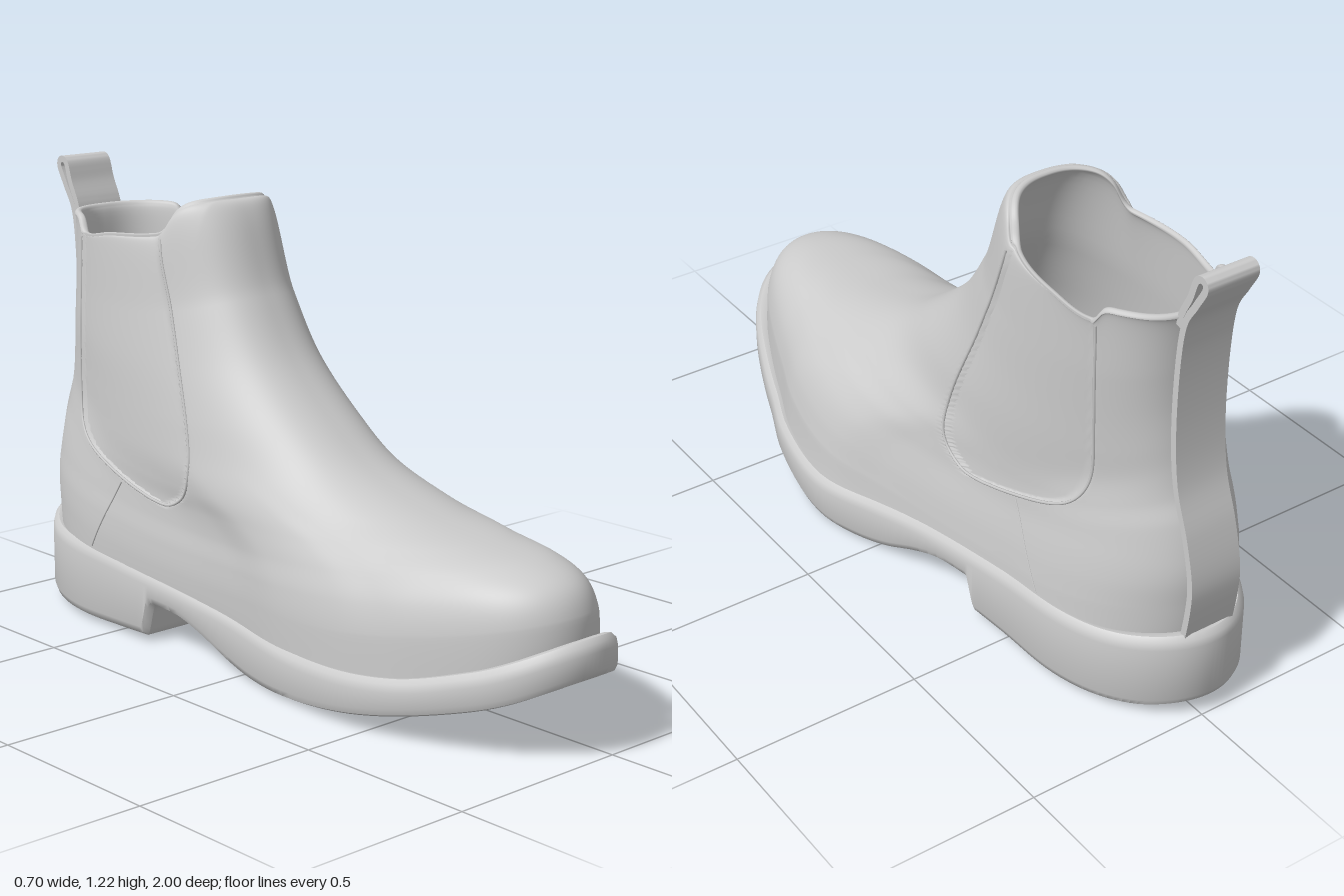
import * as THREE from 'three';
import { toCreasedNormals } from 'three/addons/utils/BufferGeometryUtils.js';

const material = new THREE.MeshStandardMaterial({ color: 0xcccccc });
const { lerp, smoothstep } = THREE.MathUtils;

// Smooth interpolation through rows [parameter, value, value...]
function keys(rows) {
  const last = rows.length - 1;
  return (t) => {
    t = Math.min(Math.max(t, rows[0][0]), rows[last][0]);
    let i = 0;
    while (i < last - 1 && t > rows[i + 1][0]) i++;
    const a = rows[i], b = rows[i + 1], p = rows[Math.max(i - 1, 0)], q = rows[Math.min(i + 2, last)];
    const h = b[0] - a[0], s = (t - a[0]) / h, s2 = s * s, s3 = s2 * s;
    return a.slice(1).map((ya, k) => {
      const yb = b[k + 1];
      const ma = (yb - p[k + 1]) / (b[0] - p[0]) * h, mb = (q[k + 1] - ya) / (q[0] - a[0]) * h;
      return ya * (2 * s3 - 3 * s2 + 1) + ma * (s3 - 2 * s2 + s) + yb * (3 * s2 - 2 * s3) + mb * (s3 - s2);
    });
  };
}

// Grid of quads from point(i, j); closed joins the last column to the first
function grid(cols, rows, closed, point, keep = () => true) {
  const pos = [], index = [], n = closed ? cols : cols + 1;
  for (let j = 0; j <= rows; j++) for (let i = 0; i < n; i++) pos.push(...point(i, j));
  for (let j = 0; j < rows; j++) for (let i = 0; i < cols; i++) {
    const a = j * n + i, b = j * n + (i + 1) % n;
    if (keep(pos, a, j)) index.push(a, b, b + n, a, b + n, a + n);
  }
  const geo = new THREE.BufferGeometry();
  geo.setAttribute('position', new THREE.Float32BufferAttribute(pos, 3));
  geo.setIndex(index);
  geo.computeVertexNormals();
  return geo;
}

function add(group, geo, name) {
  const mesh = new THREE.Mesh(geo, material);
  mesh.name = name;
  group.add(mesh);
}

// Footprint: centre line and fullness along z
const centre = keys([[-1, -0.03], [-0.5, -0.03], [-0.2, -0.012], [0, 0.005], [0.2, 0.01], [0.45, -0.02], [0.6, -0.04], [1, -0.06]]);
const fullness = keys([[-1, 0.4], [-0.85, 0.385], [-0.7, 0.355], [-0.5, 0.308], [-0.2, 0.286], [0, 0.3], [0.2, 0.344], [0.45, 0.369], [0.6, 0.366], [0.8, 0.374], [1, 0.415]]);
const soleTop = keys([[-1, 0.25], [-0.85, 0.228], [-0.6, 0.215], [-0.3, 0.19], [-0.1, 0.165], [0.1, 0.14], [0.3, 0.135], [0.6, 0.16], [0.81, 0.215], [0.9, 0.25], [1, 0.3]]);
const archBottom = keys([[-0.4, 0.112], [-0.25, 0.102], [-0.15, 0.07], [-0.05, 0.03], [0.05, 0.008], [0.2, 0.008], [0.4, 0.03], [0.6, 0.065], [0.8, 0.115], [0.9, 0.15], [1, 0.2]]);
const heelBottom = keys([[-1, 0.045], [-0.9, 0.025], [-0.7, 0.015], [-0.37, 0.02]]);
const soleBottom = (z) => lerp(heelBottom(z)[0], archBottom(z)[0], smoothstep(z, -0.39, -0.355));

// Angles around the sole, packed more tightly at the front of the heel
const half = [];
for (let i = 0; i <= 90; i++) half.push(i / 90 * Math.PI);
for (const z of [-0.355, -0.36, -0.365, -0.37, -0.375, -0.38, -0.385, -0.39]) half.push(Math.acos(z));
half.sort((a, b) => a - b);
const around = [...half, ...half.slice(1, -1).reverse().map((a) => 2 * Math.PI - a)];

// Wall of the sole: [inset, height above bottom or below top, 1 = top]
const wall = [[0.022, 0, 0], [0.007, 0.008, 0], [0, 0.025, 0], [0, -0.03, 1], [0.005, -0.01, 1], [0.018, 0, 1], [0.035, -0.003, 1], [0.05, -0.012, 1], [0.1, -0.03, 1]];
function solePoint(angle, [inset, dy, top]) {
  const n = Math.cos(angle);
  const y = (top ? soleTop(n)[0] : soleBottom(n)) + dy;
  return [centre(n)[0] + Math.sin(angle) * (fullness(n)[0] - inset), y, n * (1 - inset)];
}

// Rings of the upper: front y, front z, side y, back y, back z, foot scale, shaft width, shaft blend, shaft centre
const ringRows = [
  [0.24, 0.945, 0.125, 0.2, -0.95, 0.94, 0.3, 0, -0.05],
  [0.335, 0.945, 0.205, 0.32, -0.96, 0.92, 0.3, 0.08, -0.09],
  [0.405, 0.905, 0.28, 0.4, -0.962, 0.885, 0.28, 0.13, -0.09],
  [0.44, 0.81, 0.343, 0.47, -0.95, 0.83, 0.26, 0.2, -0.075],
  [0.453, 0.66, 0.398, 0.54, -0.93, 0.785, 0.252, 0.38, -0.056],
  [0.475, 0.47, 0.453, 0.6, -0.905, 0.76, 0.247, 0.65, -0.047],
  [0.54, 0.26, 0.53, 0.67, -0.89, 0.74, 0.24, 0.95, -0.041],
  [0.64, 0.1, 0.63, 0.74, -0.882, 0.74, 0.234, 1, -0.037],
  [0.78, -0.06, 0.75, 0.83, -0.876, 0.74, 0.226, 1, -0.033],
  [0.94, -0.172, 0.88, 0.93, -0.876, 0.74, 0.217, 1, -0.025],
  [1.08, -0.25, 0.99, 1.02, -0.88, 0.74, 0.209, 1, -0.018],
  [1.17, -0.3, 1.06, 1.09, -0.89, 0.74, 0.205, 1, -0.014],
];
const ring = keys(ringRows.map((r, i) => [i, ...r]));
const TOP = ringRows.length - 1;

// Collar height along z: back tab, dipped elastic, tall front tab
const collar = keys([[-0.89, 1.09], [-0.8, 1.09], [-0.765, 1.082], [-0.735, 1.045], [-0.6, 1.06], [-0.43, 1.074], [-0.405, 1.09], [-0.38, 1.132], [-0.35, 1.157], [-0.3, 1.172]]);

// Front and back edges of the elastic side panel, z by height
const panelFront = keys([[0.39, -0.3], [0.43, -0.225], [0.5, -0.2], [0.6, -0.22], [0.8, -0.3], [1, -0.38], [1.1, -0.41]]);
const panelBack = keys([[0.39, -0.32], [0.42, -0.45], [0.47, -0.6], [0.52, -0.68], [0.6, -0.72], [0.75, -0.73], [1.1, -0.745]]);
const panelDepth = (y, z) => (y < 0.39 ? -1 : Math.min(panelFront(y)[0] - z, z - panelBack(y)[0]));

function upperPoint(v, angle, inset = 0, recess = false) {
  const [yF, zF, yS, yB, zB, scale, width, blend, cx] = ring(v);
  const n = Math.cos(angle), s = Math.sin(angle);
  const mid = (zF + zB) / 2, reach = (zF - zB) / 2, zFull = mid + reach * n;
  let y = yS + ((n > 0 ? yF : yB) - yS) * n * n;
  y = lerp(y, collar(zFull)[0], smoothstep(v, TOP - 2, TOP));
  y = lerp(y, soleTop(zFull)[0] - 0.03, Math.max(0, 1 - v));
  if (recess) inset = Math.max(inset, 0.008 * smoothstep(panelDepth(y, zFull), 0, 0.015));
  const z = mid + (reach - inset) * n;
  const foot = fullness(n)[0] * (scale + (1 - scale) * (1 - n) / 4);
  const x = lerp(centre(z)[0], cx, blend) + Math.sign(s) * Math.abs(s) ** (1 - 0.22 * blend) * (lerp(foot, width, blend) - inset);
  return [x, y, z];
}

// Point on the upper at a given z and height; side is +1 left, -1 right
function onUpper(z, y, side) {
  let lo = 0, hi = TOP, p;
  for (let k = 0; k < 30; k++) {
    const v = (lo + hi) / 2, r = ring(v);
    const n = (z - (r[1] + r[4]) / 2) / ((r[1] - r[4]) / 2);
    p = upperPoint(v, side * Math.acos(Math.min(1, Math.max(-1, n))));
    if (p[1] < y) lo = v; else hi = v;
  }
  return new THREE.Vector3(...p);
}

export function createModel() {
  const boot = new THREE.Group();
  boot.name = 'boot';

  // Sole wall with rounded edges, and the tread below
  add(boot, toCreasedNormals(grid(around.length, wall.length - 1, true,
    (i, j) => solePoint(around[i], wall[j])), 0.7), 'sole');
  add(boot, toCreasedNormals(grid(8, half.length - 1, false, (i, j) => {
    const angle = half[half.length - 1 - j];
    const l = solePoint(angle, wall[0]), r = solePoint(-angle, wall[0]);
    return [lerp(r[0], l[0], i / 8), l[1], l[2]];
  }), 0.5), 'tread');

  // Upper: outside, rolled collar, lining and insole in one skin
  const OUT = 130, RIM = 6, IN = 50, FLOOR = 6, COLS = 240;
  const skin = (i, j) => {
    const angle = i / COLS * 2 * Math.PI;
    if (j <= OUT) return upperPoint(j / OUT * TOP, angle, 0, true);
    const t = Math.min((j - OUT) / RIM, 1);
    if (t < 1) {
      const p = upperPoint(TOP, angle, 0.01 * (1 - Math.cos(t * Math.PI)), true);
      p[1] += 0.009 * Math.sin(t * Math.PI);
      return p;
    }
    const d = Math.min((j - OUT - RIM) / IN, 1);
    const p = upperPoint(lerp(TOP, 1.3, d), angle, 0.02);
    p[1] -= 0.02 * Math.min(1, d * 8);
    const f = Math.max(0, j - OUT - RIM - IN) / FLOOR;
    return [lerp(p[0], -0.02, f), lerp(p[1], 0.24, Math.min(1, f * 2)), lerp(p[2], 0, f)];
  };
  const inPanel = (pos, a, j) => j < OUT && panelDepth(pos[3 * a + 1], pos[3 * a + 2]) > 0.016;
  const rows = OUT + RIM + IN + FLOOR;
  add(boot, grid(COLS, rows, true, skin, (p, a, j) => !inPanel(p, a, j)), 'upper');
  add(boot, grid(COLS, rows, true, skin, inPanel), 'elasticPanels');

  // Raised seams around the elastic and across the quarter
  for (const side of [1, -1]) {
    const edge = [], steps = 24;
    for (let k = 0; k <= steps; k++) {
      const y = lerp(1.07, 0.395, k / steps);
      edge.push(onUpper(panelFront(y)[0], y, side));
    }
    for (let k = 0; k <= steps; k++) {
      const y = lerp(0.4, 1.04, (k / steps) ** 1.5);
      edge.push(onUpper(panelBack(y)[0], y, side));
    }
    const quarter = [];
    for (let k = 0; k <= 8; k++) quarter.push(onUpper(lerp(-0.49, -0.61, k / 8), lerp(0.42, 0.22, k / 8), side));
    const label = side > 0 ? 'left' : 'right';
    add(boot, new THREE.TubeGeometry(new THREE.CatmullRomCurve3(edge), 120, 0.004, 6), label + 'PanelSeam');
    add(boot, new THREE.TubeGeometry(new THREE.CatmullRomCurve3(quarter), 20, 0.003, 6), label + 'QuarterSeam');
  }

  // Back strap rising into a folded pull loop, path as (z, y)
  const path = new THREE.SplineCurve([[-0.958, 0.22], [-0.974, 0.33], [-0.974, 0.41], [-0.947, 0.52], [-0.905, 0.64], [-0.888, 0.78],
    [-0.888, 0.95], [-0.902, 1.08], [-0.938, 1.15], [-0.965, 1.2], [-0.957, 1.22], [-0.935, 1.212], [-0.917, 1.16],
    [-0.893, 1.11], [-0.881, 1.07]].map((p) => new THREE.Vector2(...p)));
  const outer = [], inner = [];
  for (let k = 0; k <= 90; k++) {
    const p = path.getPoint(k / 90), t = path.getTangent(k / 90);
    outer.push(new THREE.Vector2(p.x - t.y * 0.009, p.y + t.x * 0.009));
    inner.unshift(new THREE.Vector2(p.x + t.y * 0.009, p.y - t.x * 0.009));
  }
  const strap = new THREE.ExtrudeGeometry(new THREE.Shape([...outer, ...inner]), { depth: 0.145, bevelEnabled: false });
  strap.rotateY(-Math.PI / 2).translate(0.043, 0, 0);
  add(boot, toCreasedNormals(strap, 0.7), 'pullStrap');

  return boot;
}
